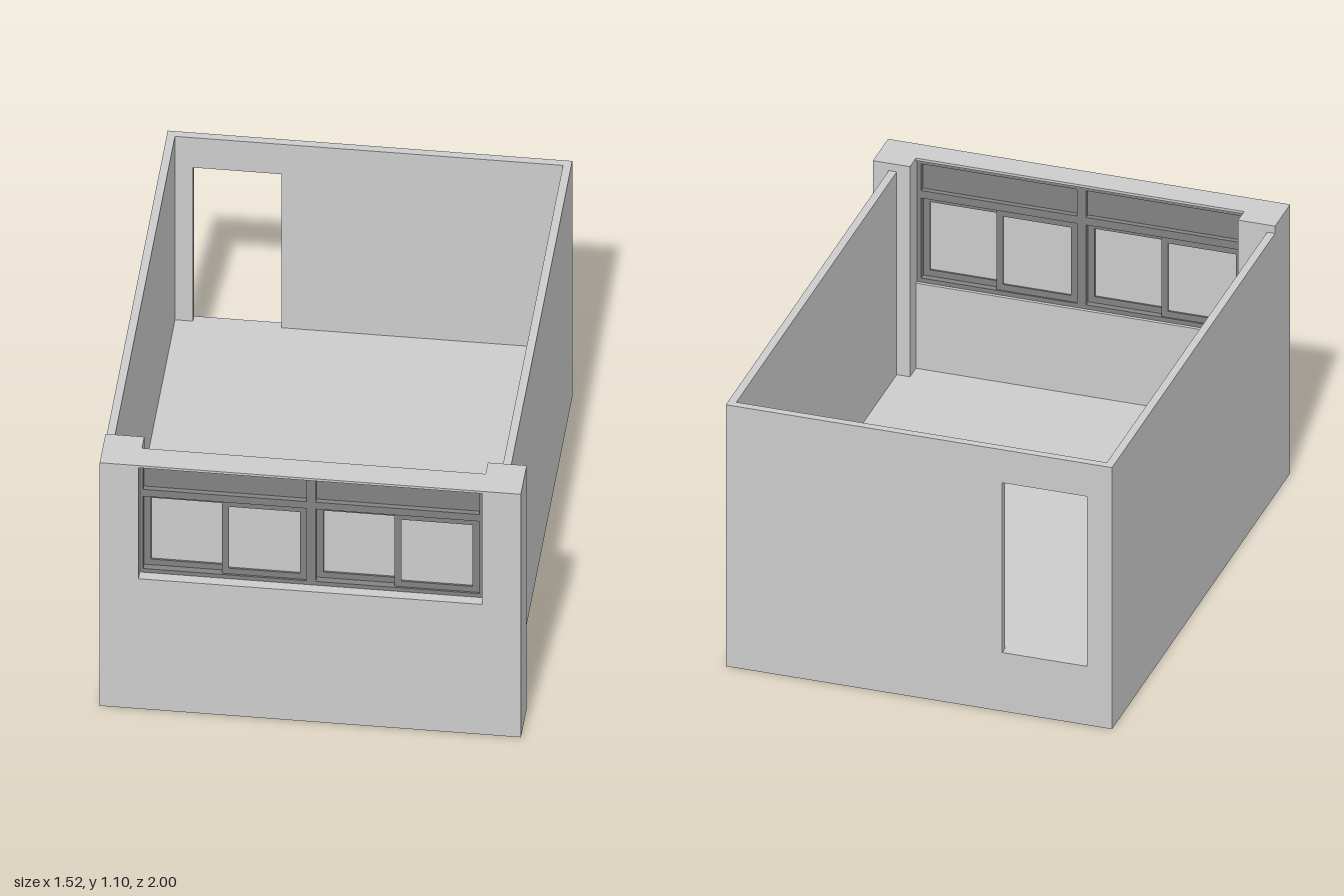
import * as THREE from 'three';

const wallMat = new THREE.MeshStandardMaterial({ color: 0xcccccc });
const frameMat = new THREE.MeshStandardMaterial({ color: 0x828282 });

// box from its min and max corners
function block(name, x0, x1, y0, y1, z0, z1, mat = wallMat) {
  const m = new THREE.Mesh(new THREE.BoxGeometry(x1 - x0, y1 - y0, z1 - z0), mat);
  m.position.set((x0 + x1) / 2, (y0 + y1) / 2, (z0 + z1) / 2);
  m.name = name;
  return m;
}

const corners = ([x0, x1, y0, y1]) =>
  [[x0, y0], [x1, y0], [x1, y1], [x0, y1]].map(([x, y]) => new THREE.Vector2(x, y));

// upright panel with rectangular holes, each rect is [x0, x1, y0, y1]
function panel(name, rect, holes, z0, z1, mat = wallMat) {
  const shape = new THREE.Shape(corners(rect));
  for (const h of holes) shape.holes.push(new THREE.Path(corners(h).reverse()));
  const geo = new THREE.ExtrudeGeometry(shape, { depth: z1 - z0, bevelEnabled: false });
  geo.translate(0, 0, z0);
  const m = new THREE.Mesh(geo, mat);
  m.name = name;
  return m;
}

// framed pane of a sliding window
function sash(name, x0, x1, z0, z1) {
  const g = new THREE.Group();
  const hole = [x0 + 0.025, x1 - 0.025, 0.63, 0.908];
  const mid = (z0 + z1) / 2;
  g.name = name;
  g.add(
    panel('sashFrame', [x0, x1, 0.605, 0.932], [hole], z0, z1, frameMat),
    block('glass', hole[0], hole[1], hole[2], hole[3], mid - 0.002, mid + 0.002)
  );
  return g;
}

export function createModel() {
  const model = new THREE.Group();
  model.name = 'room';

  // raised floor and thin walls, with a doorway at the back
  model.add(
    block('floor', -0.73, 0.67, 0, 0.24, -0.97, 0.897),
    block('rightSideWall', -0.76, -0.73, 0, 1.07, -0.97, 0.83),
    block('leftSideWall', 0.67, 0.70, 0, 1.07, -0.97, 0.83),
    panel('backWall', [-0.76, 0.70, 0, 1.07], [[-0.665, -0.345, 0.24, 0.935]], -1, -0.97)
  );

  // front wall with window opening, and a column at each end
  const opening = [-0.62, 0.62, 0.588, 1.09];
  model.add(panel('frontWall', [-0.76, 0.76, 0, 1.10], [opening], 0.897, 1));
  for (const s of [-1, 1]) {
    const [a, b] = [s * 0.62, s * 0.76];
    model.add(block('column', Math.min(a, b), Math.max(a, b), 0, 1.10, 0.83, 0.897));
  }

  // window: outer frame, two upper panels, two pairs of sliding sashes
  const win = new THREE.Group();
  win.name = 'window';
  const bays = [[-0.608, -0.018], [0.015, 0.605]];
  const holes = bays.flatMap(([a, b]) => [[a, b, 0.605, 0.932], [a, b, 0.963, 1.072]]);
  win.add(panel('windowFrame', opening, holes, 0.91, 0.96, frameMat));
  for (const [a, b] of bays) {
    const mid = (a + b) / 2;
    win.add(
      block('upperPanel', a, b, 0.963, 1.072, 0.93, 0.94, frameMat),
      sash('rearSash', a, mid + 0.012, 0.916, 0.934),
      sash('frontSash', mid - 0.012, b, 0.935, 0.953)
    );
  }
  model.add(win);
  return model;
}
